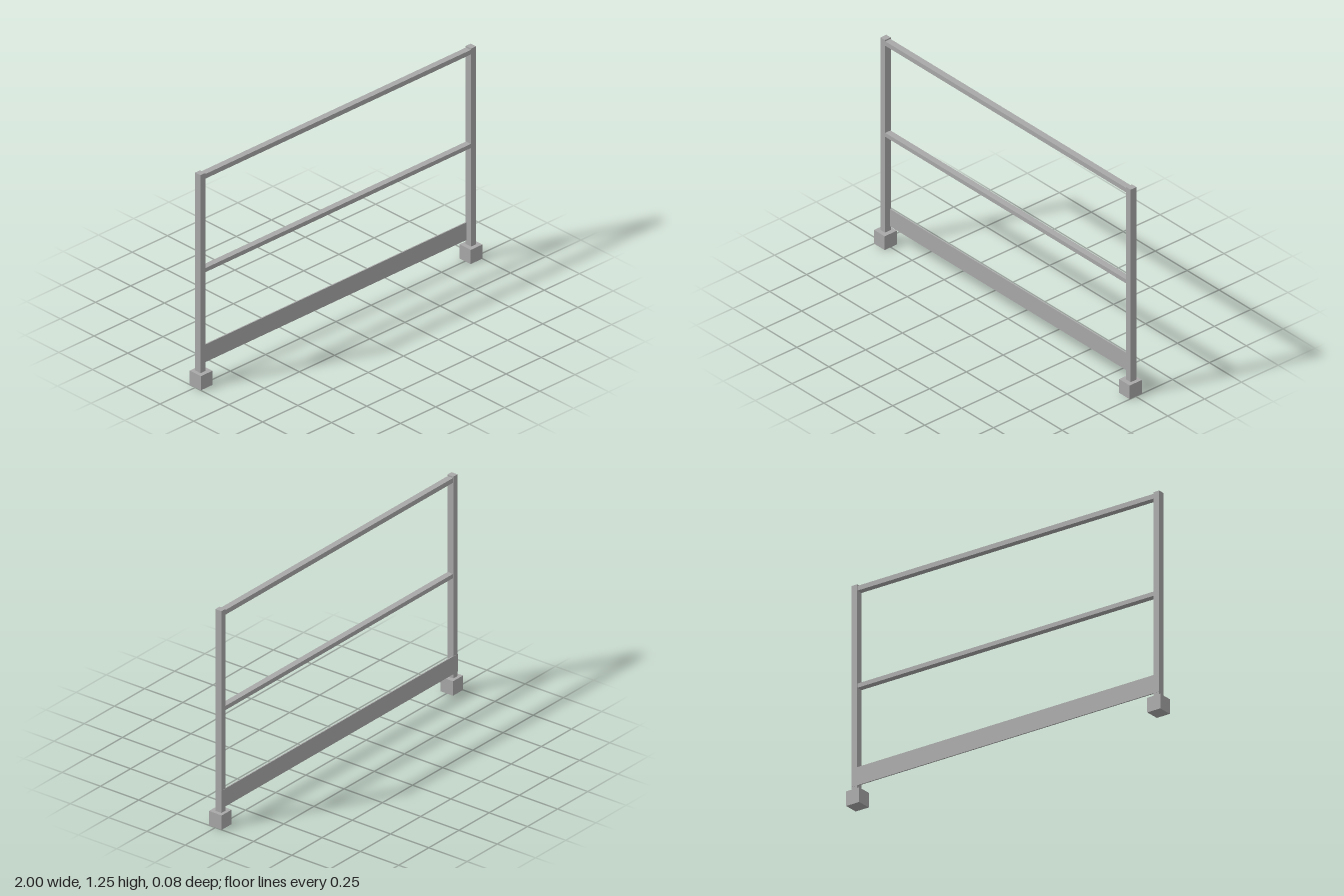
import * as THREE from 'three';

export function createModel() {
  const group = new THREE.Group();
  const metal = new THREE.MeshStandardMaterial({ color: 0xa8a8a8 });
  metal.name = 'grey metal';

  // Box given by its minimum and maximum corners
  function box(name, min, max) {
    const size = max.map((v, i) => v - min[i]);
    const mesh = new THREE.Mesh(new THREE.BoxGeometry(...size), metal);
    mesh.position.set(...max.map((v, i) => (v + min[i]) / 2));
    mesh.name = name;
    group.add(mesh);
  }

  // Posts on square feet
  const postX = 0.961, half = 0.0175;
  for (const [side, s] of [['left', 1], ['right', -1]]) {
    const x = s * postX;
    box(side + 'Post', [x - half, 0.083, -0.023], [x + half, 1.246, 0.0167]);
    const footX = s * 0.9585;
    box(side + 'Foot', [footX - 0.0415, 0, -0.0415], [footX + 0.0415, 0.083, 0.0415]);
  }

  // Horizontal rails between the posts
  box('topRail', [-0.97, 1.211, -0.021], [0.97, 1.238, 0.0147]);
  box('middleRail', [-0.97, 0.661, -0.021], [0.97, 0.685, 0.0147]);

  // Thin toe board along the back of the posts
  box('toeBoard', [-0.979, 0.108, -0.0238], [0.979, 0.211, -0.017]);

  return group;
}
